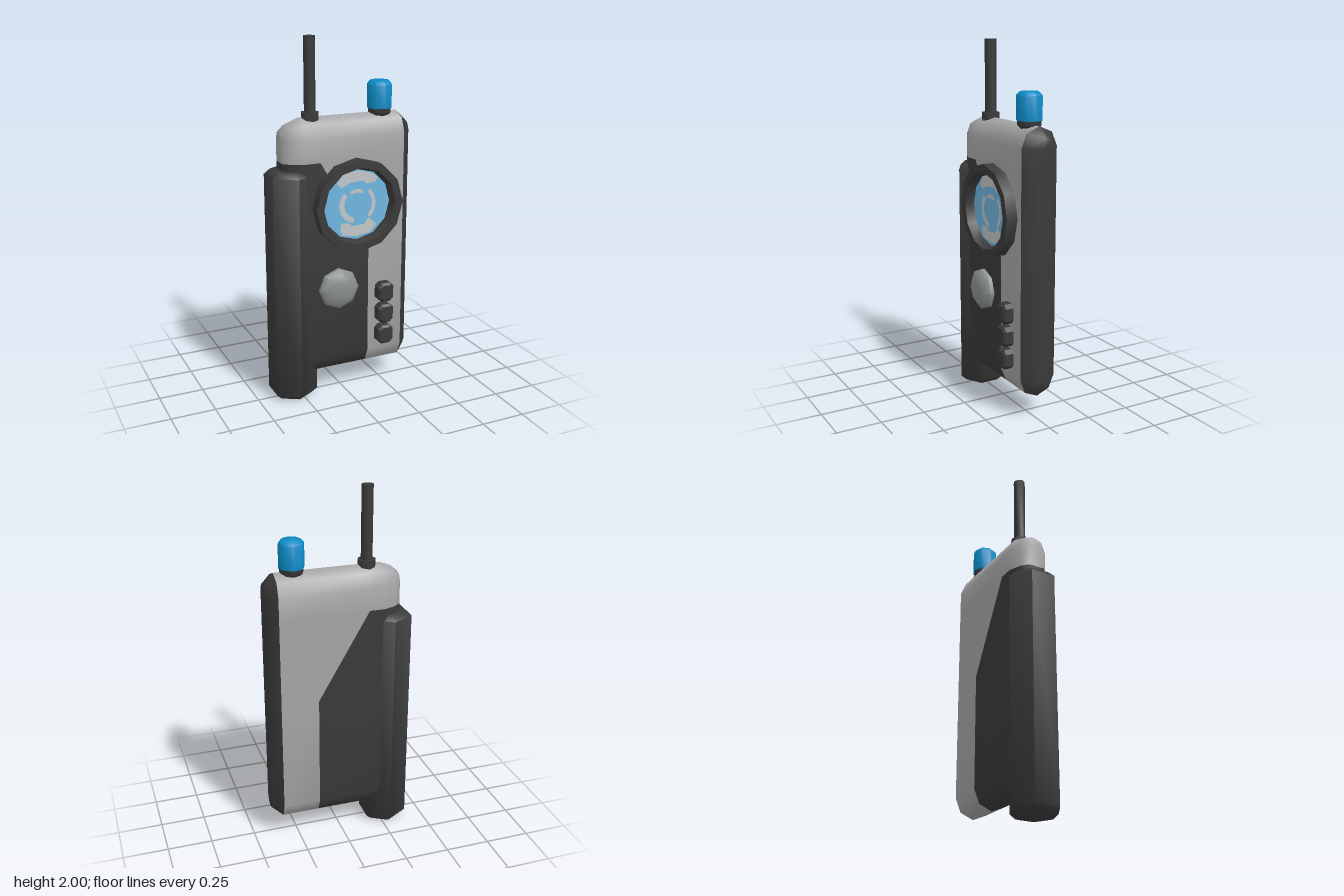
import * as THREE from 'three';
import { toCreasedNormals } from 'three/addons/utils/BufferGeometryUtils.js';

const mat = (name, color) => {
  const m = new THREE.MeshStandardMaterial({ color });
  m.name = name;
  return m;
};

export function createModel() {
  const group = new THREE.Group();
  const dark = mat('charcoal', 0x3a3a3a);
  const grey = mat('light grey', 0xa6a6a8);
  const blue = mat('blue', 0x0b8bc6);
  const screenBlue = mat('screen blue', 0x6fb5e0);
  const pale = mat('pale grey', 0xc2c6c8);
  const buttonGrey = mat('button grey', 0x8a8f8c);
  const MID = -0.015; // centre depth of the body

  const add = (name, geometry, material, x = 0, y = 0, z = 0) => {
    const mesh = new THREE.Mesh(geometry, material);
    mesh.name = name;
    mesh.position.set(x, y, z);
    group.add(mesh);
    return mesh;
  };
  const lathe = (profile, sides) => toCreasedNormals(
    new THREE.LatheGeometry(profile.map(([r, y]) => new THREE.Vector2(r, y)), sides), 0.9);

  // Upright capsule outline of the body: base height plus a direction scaled by radius
  const LOW = 0.225, HIGH = 1.475, TRIM_LOW = 0.86, TRIM_HIGH = 1.35, s = Math.SQRT1_2;
  const rows = [LOW, TRIM_LOW, TRIM_HIGH, HIGH];
  const ring = [
    ...rows.map(y => [y, 0, 1]),
    [HIGH, s, s], [HIGH, 1, 0], [HIGH, s, -s],
    ...rows.slice().reverse().map(y => [y, 0, -1]),
    [LOW, -s, -s], [LOW, -1, 0], [LOW, -s, s],
  ];
  const split = y => (y >= TRIM_HIGH ? -0.15 : 0.135); // edge of the dark trim

  // Skins a run of sections [x or x(y), radius]; keep() picks the patches
  function skin(sections, keep) {
    const pos = [];
    const point = (i, j) => {
      const [x, r] = sections[i];
      const [y, dy, dz] = ring[j % ring.length];
      return [typeof x === 'function' ? x(y) : x, y + r * dy, MID + r * dz];
    };
    for (let i = 0; i < sections.length - 1; i++) {
      for (let j = 0; j < ring.length; j++) {
        const top = Math.max(ring[j][0], ring[(j + 1) % ring.length][0]);
        if (!keep(i, top)) continue;
        const a = point(i, j), b = point(i + 1, j), c = point(i + 1, j + 1), d = point(i, j + 1);
        pos.push(...a, ...b, ...c, ...a, ...c, ...d);
      }
    }
    const g = new THREE.BufferGeometry();
    g.setAttribute('position', new THREE.Float32BufferAttribute(pos, 3));
    return toCreasedNormals(g, 0.9);
  }
  const shell = [[-0.34, 0], [-0.34, 0.045], [-0.3, 0.08], [-0.235, 0.105], [split, 0.105], [0.345, 0.105]];
  const isTrim = (i, top) => i < 4 && top <= TRIM_HIGH;
  add('bodyShell', skin(shell, (i, top) => !isTrim(i, top)), grey);
  add('bodyTrim', skin(shell, isTrim), dark);
  add('sideCap', skin([[0.345, 0.105], [0.4, 0.052], [0.4, 0]], () => true), dark);

  // Hexagonal side grip
  add('sideGrip', lathe([[0, 0], [0.105, 0], [0.138, 0.03], [0.138, 1.28], [0.105, 1.31], [0, 1.31]], 6),
    dark, -0.285, 0, MID);

  // Antenna and top knob
  add('antennaBase', lathe([[0, 1.55], [0.05, 1.55], [0.05, 1.605], [0, 1.605]], 8), dark, -0.165, 0, MID);
  add('antenna', lathe([[0, 1.58], [0.033, 1.58], [0.033, 2], [0, 2]], 8), dark, -0.165, 0, MID);
  add('knobBase', lathe([[0, 1.53], [0.05, 1.56], [0.065, 1.575], [0.065, 1.605], [0, 1.605]], 8), dark, 0.245, 0, MID);
  add('knob', lathe([[0, 1.6], [0.07, 1.6], [0.07, 1.728], [0.052, 1.748], [0, 1.75]], 8), blue, 0.245, 0, MID);

  // Round screen with its raised bezel
  const DX = 0.055, DY = 1.105;
  add('screenBezel', lathe([[0.255, 0.08], [0.255, 0.153], [0.213, 0.153], [0.195, 0.1]], 12).rotateX(Math.PI / 2),
    dark, DX, DY);
  add('screen', new THREE.CircleGeometry(0.203, 12), screenBlue, DX, DY, 0.105);

  // Pale patches on the screen
  const patch = (name, pts) => add(name, new THREE.ShapeGeometry(
    new THREE.Shape(pts.map(([x, y]) => new THREE.Vector2(x, y)))), pale, DX, DY, 0.107);
  patch('screenPatchTop', [[-0.12, 0.125], [-0.09, 0.1], [-0.04, 0.125], [0.03, 0.13], [0.06, 0.11],
    [0.11, 0.115], [0.125, 0.14], [0.08, 0.17], [0, 0.19], [-0.08, 0.175]]);
  patch('screenPatchBottom', [[-0.1, -0.13], [-0.085, -0.165], [0, -0.18], [0.08, -0.165], [0.12, -0.125],
    [0.07, -0.08], [0.045, -0.115], [-0.025, -0.12], [-0.05, -0.1], [-0.09, -0.095]]);
  const arc = (name, inner, outer, from, sweep) => add(name,
    new THREE.RingGeometry(inner, outer, 10, 1, from, sweep), pale, DX, DY, 0.107);
  arc('screenArcLeft', 0.075, 0.105, 2.4, 2.1);
  arc('screenArcRight', 0.09, 0.112, -0.8, 1.6);
  arc('screenArcUpper', 0.065, 0.085, 1.1, 1.0);

  // Domed main button
  add('mainButton', lathe([[0.115, 0.08], [0.115, 0.112], [0.085, 0.135], [0.045, 0.145], [0, 0.147]], 8)
    .rotateX(Math.PI / 2), buttonGrey, -0.05, 0.635);

  // Column of small keys with clipped corners
  const w = 0.035, h = 0.043, c = 0.014;
  const keyShape = new THREE.Shape([[-w + c, -h], [w - c, -h], [w, -h + c], [w, h - c],
    [w - c, h], [-w + c, h], [-w, h - c], [-w, -h + c]].map(([x, y]) => new THREE.Vector2(x, y)));
  const keyGeometry = new THREE.ExtrudeGeometry(keyShape,
    { depth: 0.055, bevelSize: 0.012, bevelThickness: 0.012, bevelSegments: 1 });
  for (const y of [0.578, 0.45, 0.322]) add('smallKey', keyGeometry, dark, 0.225, y, 0.08);

  return group;
}
